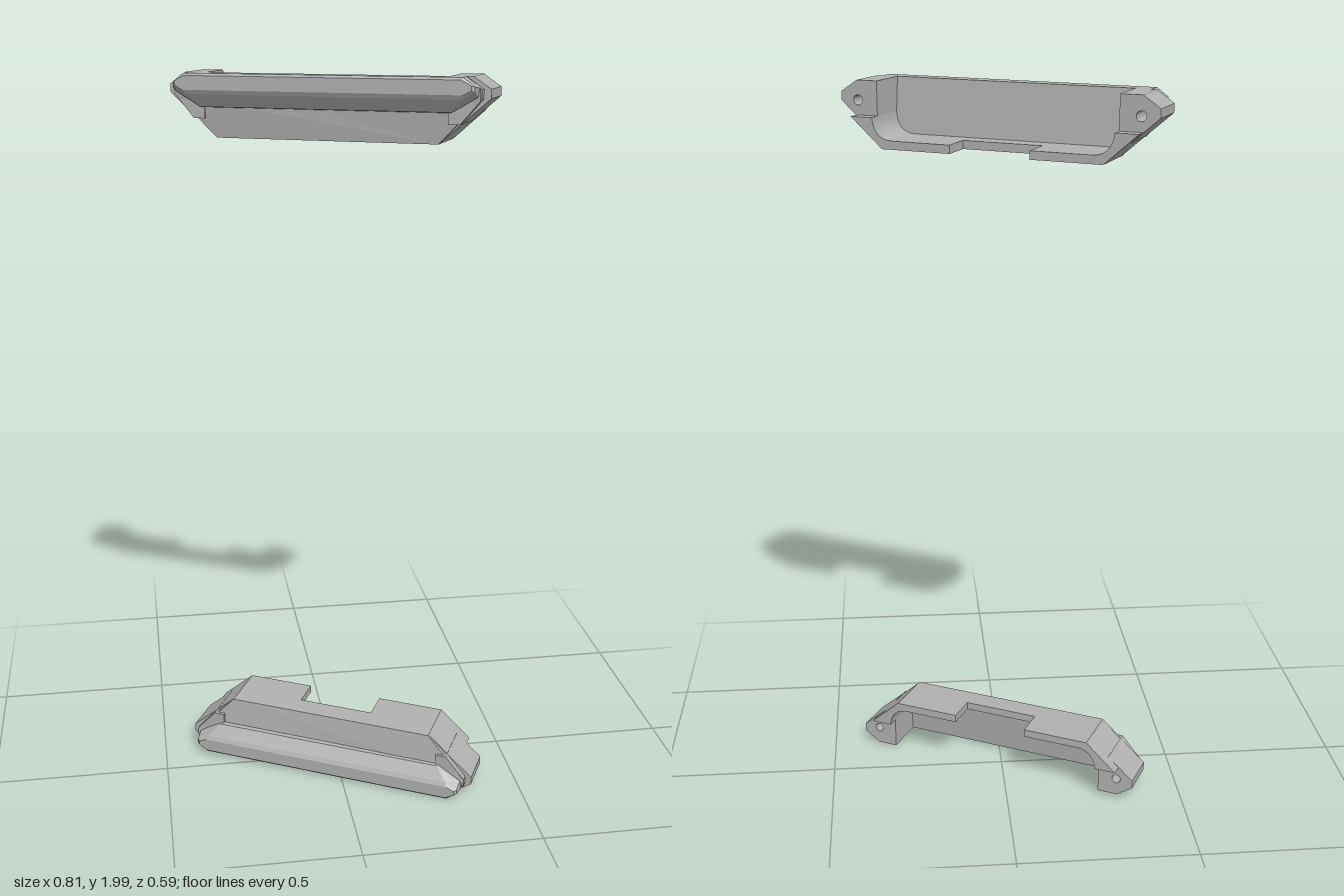
import * as THREE from 'three';
import { toCreasedNormals } from 'three/addons/utils/BufferGeometryUtils.js';

const grey = new THREE.MeshStandardMaterial({ color: 0xb0b0b0 });
grey.name = 'plain grey';

function part(name, geometry) {
  const mesh = new THREE.Mesh(geometry, grey);
  mesh.name = name;
  return mesh;
}

// Extrude an x-y shape from depth z0 to z1
function slab(shape, z0, z1) {
  const g = new THREE.ExtrudeGeometry(shape, { depth: z1 - z0, bevelEnabled: false, curveSegments: 8 });
  g.translate(0, 0, z0);
  return toCreasedNormals(g, 0.5);
}

// Loft mirrored rings, back to front; each ring lists its +x half, bottom to top
function loft(halves) {
  const rings = halves.map(h => [...h, ...[...h].reverse().map(([x, y, z]) => [-x, y, z])]);
  const pos = [];
  const n = rings[0].length;
  const tri = (a, b, c) => pos.push(...a, ...b, ...c);
  for (let r = 0; r < rings.length - 1; r++) {
    const a = rings[r], b = rings[r + 1];
    for (let i = 0; i < n; i++) {
      const j = (i + 1) % n;
      tri(a[i], a[j], b[j]);
      tri(a[i], b[j], b[i]);
    }
  }
  const back = rings[0], front = rings[rings.length - 1];
  for (let i = 1; i < n - 1; i++) {
    tri(back[0], back[i + 1], back[i]);
    tri(front[0], front[i], front[i + 1]);
  }
  const g = new THREE.BufferGeometry();
  g.setAttribute('position', new THREE.Float32BufferAttribute(pos, 3));
  g.computeVertexNormals();
  return g;
}

// Half of the tray section: thin floor, filleted inside, sloped outside
function trayShape(s, inner) {
  const p = new THREE.Shape();
  p.moveTo(s * inner, 0);
  p.lineTo(s * 0.3, 0);
  p.lineTo(s * 0.388, 0.078);
  p.lineTo(s * 0.327, 0.078);
  p.quadraticCurveTo(s * 0.322, 0.022, s * 0.27, 0.022);
  p.lineTo(s * inner, 0.022);
  p.closePath();
  return p;
}

// End block section with chamfered outer edge
function endShape(s, outer, hole) {
  const p = new THREE.Shape([
    [0.327, 0.05], [0.357, 0.05], [outer, 0.113], [outer, 0.136], [outer - 0.045, 0.166], [0.327, 0.166],
  ].map(([x, y]) => new THREE.Vector2(s * x, y)));
  if (hole) {
    const h = new THREE.Path();
    h.absarc(s * 0.382, 0.116, 0.013, 0, Math.PI * 2);
    p.holes.push(h);
  }
  return p;
}

function createBracket(name) {
  const g = new THREE.Group();
  g.name = name;
  for (const [s, side] of [[1, 'left'], [-1, 'right']]) {
    // Floor flanks leave a notch at the middle of the back
    g.add(part(side + 'TrayBack', slab(trayShape(s, 0.109), -0.121, -0.036)));
    g.add(part(side + 'TrayFront', slab(trayShape(s, 0), -0.036, 0.022)));
    g.add(part(side + 'ScrewLug', slab(endShape(s, 0.43, true), -0.089, 0.024)));
    g.add(part(side + 'EndBlock', slab(endShape(s, 0.412, false), 0.024, 0.042)));
  }
  // Front wall, leaning outward towards the rim
  g.add(part('frontWall', loft([
    [[0.3, 0, 0.012], [0.408, 0.11, 0.024], [0.408, 0.138, 0.027], [0.367, 0.166, 0.03]],
    [[0.3, 0, 0.027], [0.408, 0.11, 0.044], [0.408, 0.138, 0.046], [0.367, 0.166, 0.048]],
  ])));
  // Projecting rim with sloped underside
  g.add(part('frontLip', loft([
    [[0.335, 0.078, 0.036], [0.402, 0.118, 0.036], [0.406, 0.14, 0.036], [0.37, 0.166, 0.036]],
    [[0.335, 0.08, 0.049], [0.402, 0.118, 0.049], [0.406, 0.14, 0.049], [0.37, 0.166, 0.049]],
    [[0.365, 0.113, 0.073], [0.4, 0.13, 0.073], [0.4, 0.144, 0.073], [0.37, 0.166, 0.073]],
    [[0.372, 0.124, 0.079], [0.393, 0.134, 0.079], [0.393, 0.146, 0.079], [0.368, 0.16, 0.079]],
  ])));
  return g;
}

export function createModel() {
  const model = new THREE.Group();
  model.name = 'bracketPair';
  // Symmetric part: a half turn about its depth axis gives the lower one
  const upper = createBracket('upperBracket');
  upper.rotation.set(-0.025, -0.48, 0);
  upper.position.set(-0.0155, 1.825, -0.008);
  const lower = createBracket('lowerBracket');
  lower.rotation.set(0.025, -0.48, Math.PI);
  lower.position.set(-0.0155, 0.175, 0.044);
  model.add(upper, lower);
  return model;
}
